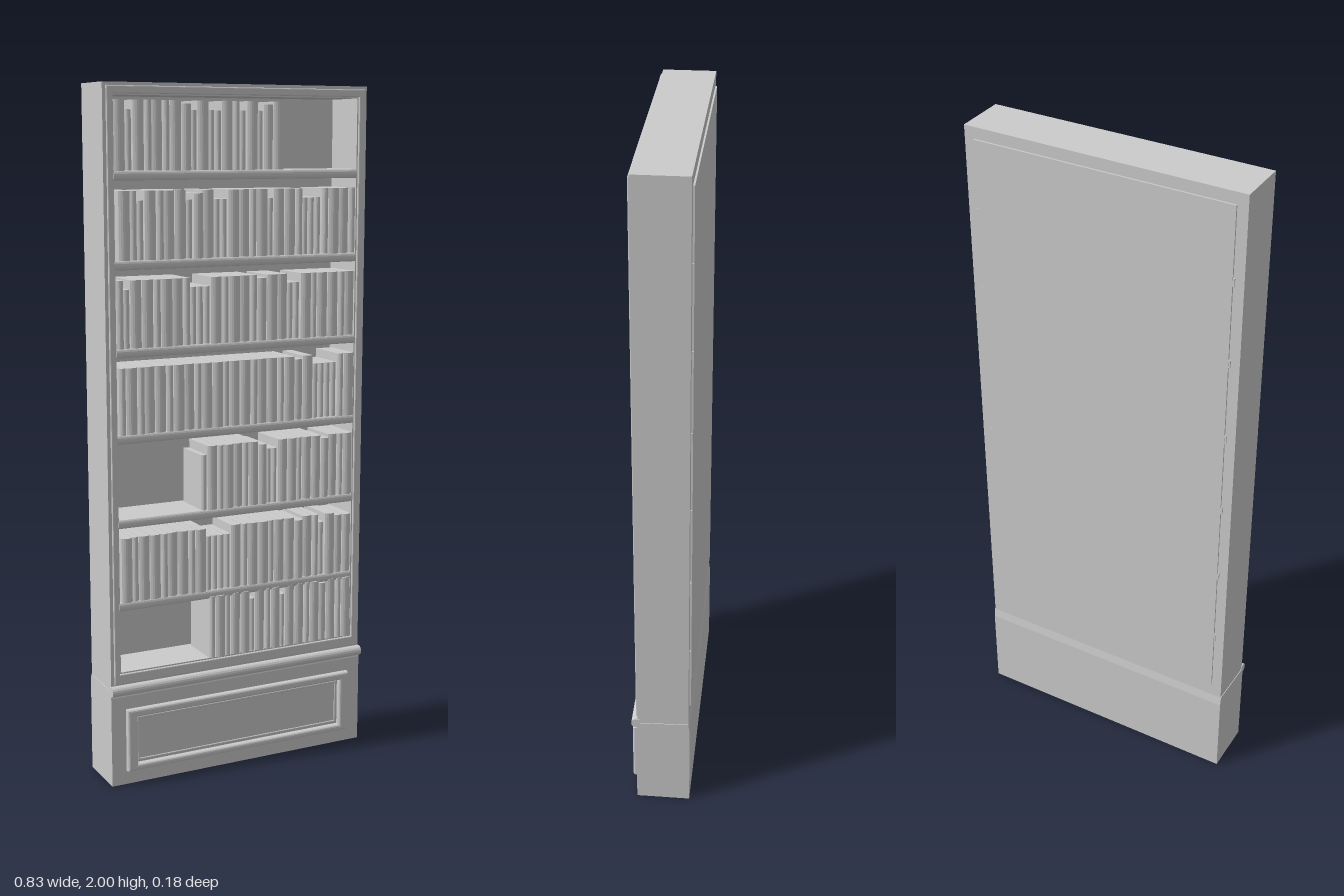
import * as THREE from 'three';
import { mergeGeometries } from 'three/addons/utils/BufferGeometryUtils.js';

const material = new THREE.MeshStandardMaterial({ color: 0xcccccc });

function add(parent, name, geometry) {
  const mesh = new THREE.Mesh(geometry, material);
  mesh.name = name;
  parent.add(mesh);
  return mesh;
}

function rectPoints(w, y0, y1) {
  return [[-w, y0], [w, y0], [w, y1], [-w, y1]].map(([x, y]) => new THREE.Vector2(x, y));
}

// Rectangular frame with an opening, between two depths
function frame(outer, inner, z0, z1, bevel = 0) {
  const shape = new THREE.Shape(rectPoints(...outer));
  shape.holes.push(new THREE.Path(rectPoints(...inner).reverse()));
  const g = new THREE.ExtrudeGeometry(shape, {
    depth: z1 - z0 - bevel, bevelEnabled: bevel > 0,
    bevelSize: bevel, bevelThickness: bevel, bevelOffset: -bevel, bevelSegments: 3,
  });
  return g.translate(0, 0, z0);
}

// Side profile of [z, y] points swept across the width
function bar(points, width) {
  const shape = new THREE.Shape(points.map(([z, y]) => new THREE.Vector2(z, y)));
  const g = new THREE.ExtrudeGeometry(shape, { depth: width, bevelEnabled: false });
  return g.rotateY(-Math.PI / 2).translate(width / 2, 0, 0);
}

// Half-round nose on a straight back edge
function nosed(back, front, y0, y1, nose) {
  const pts = [[back, y0]], mid = (y0 + y1) / 2, r = (y1 - y0) / 2;
  for (let i = 0; i <= 8; i++) {
    const a = -Math.PI / 2 + (i / 8) * Math.PI;
    pts.push([front - nose + nose * Math.cos(a), mid + r * Math.sin(a)]);
  }
  pts.push([back, y1]);
  return pts;
}

// One book with a gently rounded spine facing +z
function book(x, y, width, height, front) {
  const w = width / 2 - 0.0008, edge = front - 0.007, back = -0.06;
  const s = new THREE.Shape();
  s.moveTo(-w, -back);
  s.lineTo(-w, -edge);
  s.quadraticCurveTo(0, -2 * front + edge, w, -edge);
  s.lineTo(w, -back);
  const g = new THREE.ExtrudeGeometry(s, { depth: height, bevelEnabled: false, curveSegments: 6 });
  return g.rotateX(-Math.PI / 2).translate(x, y, 0);
}

// T thick and tall, t thin and tall, m middling, s short and thin: [width, height]
const sizes = { T: [0.031, 0.189], t: [0.02, 0.189], m: [0.027, 0.18], s: [0.019, 0.163] };

// Rows from the top down: floor height, left end, right end, books
const rows = [
  [1.765, -0.381, 0.14, 'TsTtTtTmsTssTtsTsmT'],
  [1.522, -0.372, 0.381, 'TtsTtTTsmTssTTtTsTTtssstTTt'],
  [1.279, -0.381, 0.381, 'tsTTtTTtsssTtTTtmTTssTtTTtT'],
  [1.036, -0.376, 0.381, 'tTtTTtTTtTTtTTtTTtTmTsssstT'],
  [0.793, -0.122, 0.381, 'sTtTTtTmssTTtTTmTtT'],
  [0.55, -0.376, 0.381, 'TtTTtTTtTssssTtTTtTTmTtsTmm'],
  [0.342, -0.1, 0.381, 'tTtTTsTtTsTTtTmTtT'],
];

export function createModel() {
  const model = new THREE.Group();
  model.name = 'bookcase';

  // Case
  add(model, 'caseFrame', frame([0.413, 0.29, 2], [0.382, 0.342, 1.966], -0.084, 0.067));
  add(model, 'frontTrim', frame([0.403, 0.308, 1.991], [0.386, 0.338, 1.97], 0.065, 0.073, 0.003));
  add(model, 'backPanel', new THREE.BoxGeometry(0.764, 1.624, 0.015).translate(0, 1.154, -0.0815));

  // Plinth with a moulding and a raised panel frame
  add(model, 'base', bar([
    [-0.088, 0], [0.071, 0], [0.071, 0.268], [0.067, 0.29], [-0.084, 0.295], [-0.088, 0.265],
  ], 0.83));
  add(model, 'baseMoulding', bar(nosed(0.06, 0.086, 0.274, 0.304, 0.013), 0.83));
  add(model, 'basePanelFrame', frame([0.37, 0.042, 0.23], [0.338, 0.062, 0.206], 0.068, 0.088, 0.007));
  add(model, 'basePanelField', frame([0.335, 0.066, 0.202], [0.328, 0.073, 0.195], 0.068, 0.074, 0.002));

  // Shelves, with ends showing slightly behind the case
  const shelves = new THREE.Group();
  shelves.name = 'shelves';
  model.add(shelves);
  rows.slice(0, -1).forEach(([y]) => {
    add(shelves, 'shelf', bar(nosed(-0.074, 0.07, y - 0.026, y, 0.006), 0.766));
    for (const side of [-1, 1]) {
      add(shelves, 'shelfEnd', new THREE.BoxGeometry(0.012, 0.024, 0.02)
        .translate(side * 0.381, y - 0.013, -0.078));
    }
  });

  // Books, fitted to each row's length
  const books = new THREE.Group();
  books.name = 'books';
  model.add(books);
  rows.forEach(([y, left, right, pattern], r) => {
    const total = [...pattern].reduce((sum, c) => sum + sizes[c][0], 0);
    const fit = (right - left) / total;
    let x = left;
    const parts = [...pattern].map((c, i) => {
      const width = sizes[c][0] * fit;
      const front = c === 's' ? 0.066 : 0.07 + ((i * 5 + r * 3) % 4) * 0.002;
      x += width;
      return book(x - width / 2, y, width, sizes[c][1], front);
    });
    add(books, 'bookRow', mergeGeometries(parts));
  });

  return model;
}
